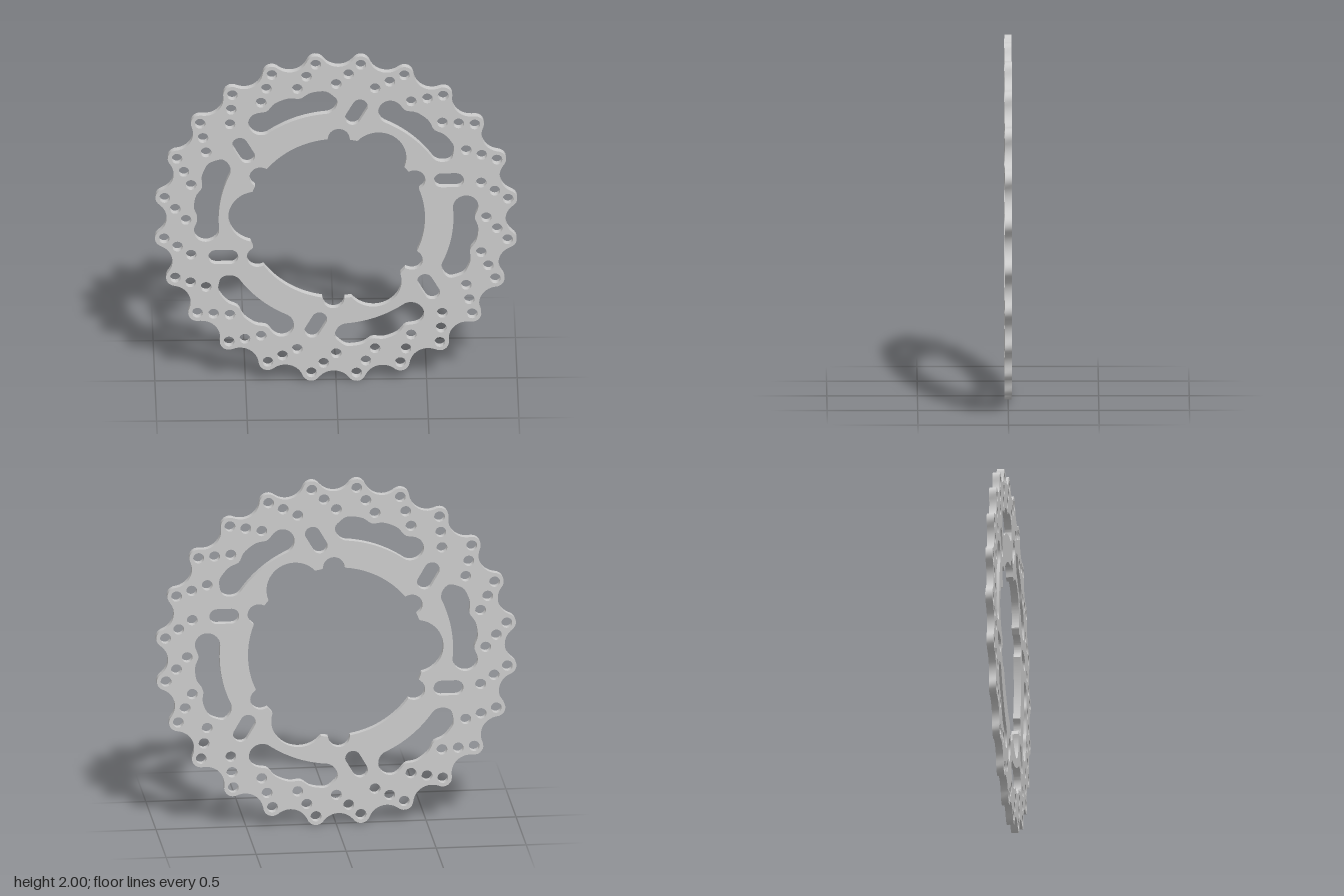
import * as THREE from 'three';
import { toCreasedNormals } from 'three/addons/utils/BufferGeometryUtils.js';

const RAD = Math.PI / 180;
const THICKNESS = 0.04;

const polar = (r, deg) => new THREE.Vector2(r * Math.cos(deg * RAD), r * Math.sin(deg * RAD));

// signed angular distance from the nearest angle of the series start + n * step
const offset = (deg, start, step) => {
  const d = (deg - start) / step;
  return (d - Math.round(d)) * step;
};

// where a ray meets a circle centred at distance c, d degrees away (side 1 = far, -1 = near)
const rayCircle = (c, radius, d, side) => {
  const s = c * Math.sin(d * RAD);
  if (Math.abs(s) > radius || Math.abs(d) > 90) return 0;
  return c * Math.cos(d * RAD) + side * Math.sqrt(radius * radius - s * s);
};

const ring = (radiusAt, count) =>
  Array.from({ length: count }, (_, i) => polar(radiusAt((i * 360) / count), (i * 360) / count));

// outer rim: 24 round lobes joined by tangent hollows
const rimRadius = (deg) => {
  const d = offset(deg, 6.8, 15);
  return Math.abs(d) < 2.58
    ? rayCircle(0.957, 0.05, d, 1)
    : rayCircle(1.0384, 0.1034, offset(deg, 14.3, 15), -1);
};

// inner edge: six small mounting notches and three wide scallops
const boreRadius = (deg) => Math.max(
  0.491,
  rayCircle(0.492, 0.06, offset(deg, 28.3, 60), 1),
  rayCircle(0.44, 0.155, offset(deg, 58, 120), 1)
);

// long curved window, its outer edge dented around the drilled holes
function windowPath(turn) {
  const lo = 29.4, hi = 70.8, cap = 5.6, n = 48;
  const edge = (k, side) => {
    const deg = lo + ((hi - lo) * (1 - Math.cos((Math.PI * k) / n))) / 2;
    const q = Math.max(0, lo + cap - deg, deg - hi + cap) / cap;
    const h = 0.071 * Math.sqrt(Math.max(0, 1 - q * q));
    const dent = side > 0 ? 0.024 * Math.exp(-((offset(deg, 0, 15) / 3) ** 2)) * (h / 0.071) : 0;
    return polar(0.719 + side * h - dent, deg + turn);
  };
  const points = [];
  for (let k = 0; k <= n; k++) points.push(edge(k, 1));
  for (let k = n - 1; k > 0; k--) points.push(edge(k, -1));
  return new THREE.Path(points);
}

// short straight slot with round ends
function pillPath(centre, deg, halfLength, radius) {
  const a = deg * RAD, axis = polar(halfLength - radius, deg);
  const path = new THREE.Path();
  path.absarc(centre.x + axis.x, centre.y + axis.y, radius, a - Math.PI / 2, a + Math.PI / 2, false);
  path.absarc(centre.x - axis.x, centre.y - axis.y, radius, a + Math.PI / 2, a + Math.PI * 1.5, false);
  path.closePath();
  return path;
}

function drillPath(r, deg) {
  const c = polar(r, deg);
  return new THREE.Path().absarc(c.x, c.y, 0.03, 0, Math.PI * 2, false);
}

export function createModel() {
  const disc = new THREE.Shape(ring(rimRadius, 480));
  disc.holes.push(new THREE.Path(ring(boreRadius, 720)));

  // windows and short slots alternate six times around
  for (let turn = 0; turn < 360; turn += 60) {
    disc.holes.push(windowPath(turn));
    disc.holes.push(pillPath(polar(0.664, 20.3 + turn), turn, 0.083, 0.043));
  }

  // slanted rows of three drilled holes, one row per lobe
  for (let turn = 0; turn < 360; turn += 15) {
    disc.holes.push(drillPath(0.956, 6.8 + turn));
    disc.holes.push(drillPath(0.891, 10.6 + turn));
    disc.holes.push(drillPath(0.829, 15 + turn));
  }

  const geometry = new THREE.ExtrudeGeometry(disc, {
    depth: THICKNESS, bevelEnabled: false, curveSegments: 12,
  });
  geometry.translate(0, 1, -THICKNESS / 2);

  const mesh = new THREE.Mesh(
    toCreasedNormals(geometry, 35 * RAD),
    new THREE.MeshStandardMaterial({ color: 0xcccccc })
  );
  mesh.name = 'brakeDisc';

  const group = new THREE.Group();
  group.name = 'brakeRotor';
  group.add(mesh);
  return group;
}
